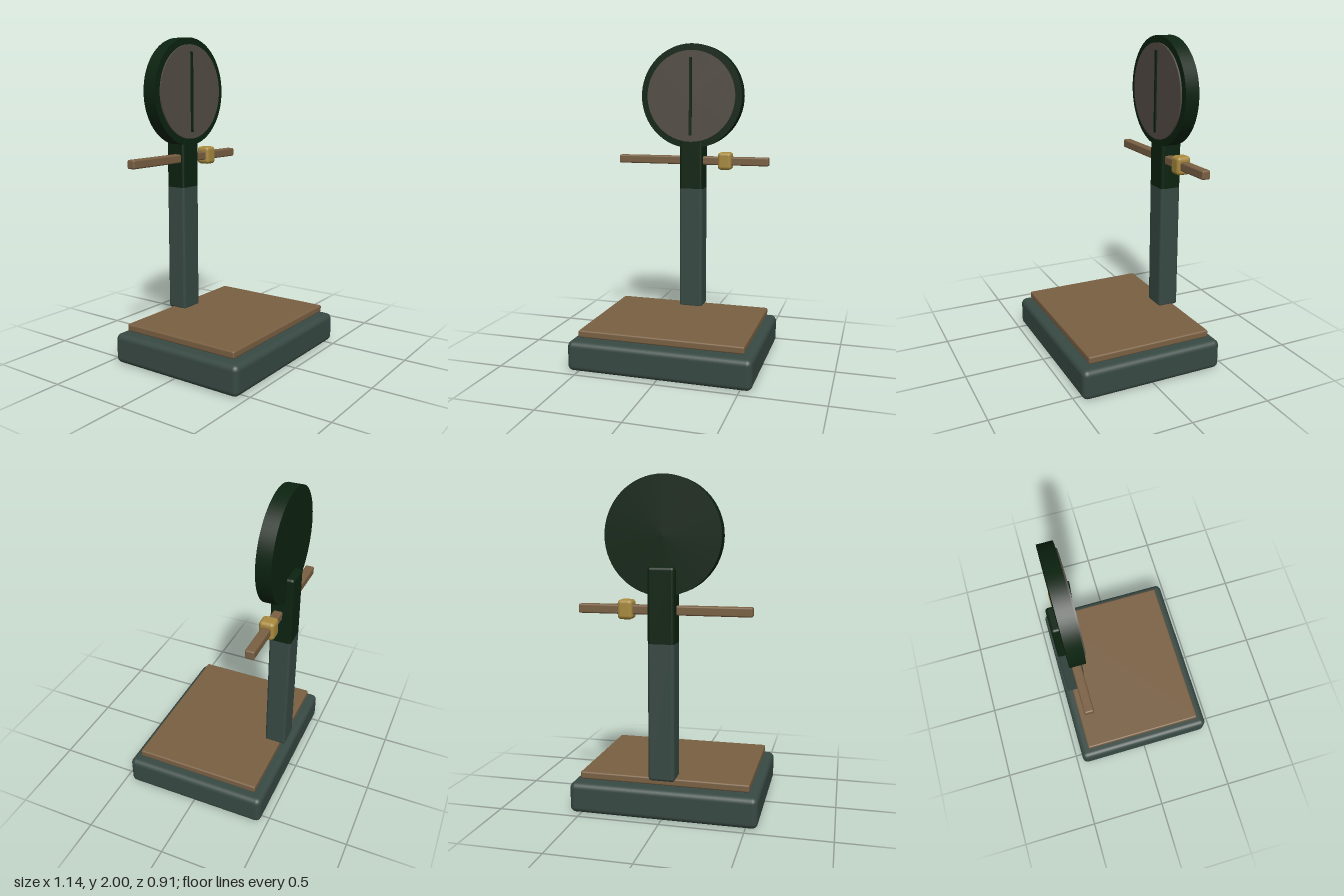
import * as THREE from 'three';
import { RoundedBoxGeometry } from 'three/addons/geometries/RoundedBoxGeometry.js';

function paint(name, color) {
  const m = new THREE.MeshStandardMaterial({ color });
  m.name = name;
  return m;
}

export function createModel() {
  const model = new THREE.Group();
  model.name = 'platformScale';
  const slate = paint('slate green', 0x384943);
  const green = paint('dark green', 0x0c2310);
  const wood = paint('brown wood', 0x7a6043);
  const dialGrey = paint('warm grey', 0x544d45);
  const brass = paint('brass', 0xa88a3f);

  function add(name, geometry, material, x = 0, y = 0, z = 0) {
    const mesh = new THREE.Mesh(geometry, material);
    mesh.name = name;
    mesh.position.set(x, y, z);
    model.add(mesh);
    return mesh;
  }

  // Softened box given by its extents on each axis
  function block(name, material, [x0, x1], [y0, y1], [z0, z1], radius) {
    const geometry = new RoundedBoxGeometry(x1 - x0, y1 - y0, z1 - z0, 4, radius);
    return add(name, geometry, material, (x0 + x1) / 2, (y0 + y1) / 2, (z0 + z1) / 2);
  }

  // Disc facing the front
  function disc(name, material, radius, z0, z1) {
    const geometry = new THREE.CylinderGeometry(radius, radius, z1 - z0, 64).rotateX(Math.PI / 2);
    return add(name, geometry, material, 0, 1.66, (z0 + z1) / 2);
  }

  // Base and weighing plate
  block('base', slate, [-0.57, 0.57], [0, 0.186], [-0.457, 0.457], 0.035);
  block('weighingPlate', wood, [-0.515, 0.515], [0.2, 0.245], [-0.4, 0.4], 0.01);

  // Column in two colours, each half cut flat at the seam
  const seam = 1.05, r = 0.018;
  const sides = [[-0.079, 0.079], [-0.434, -0.297]];
  const lower = block('columnLower', slate, sides[0], [0.235, seam + r], sides[1], r);
  const upper = block('columnUpper', green, sides[0], [seam - r, 1.487], sides[1], r);
  for (const [mesh, clamp] of [[lower, Math.min], [upper, Math.max]]) {
    const p = mesh.geometry.attributes.position;
    const cut = seam - mesh.position.y;
    for (let i = 0; i < p.count; i++) p.setY(i, clamp(p.getY(i), cut));
  }

  // Dial with face and needle
  disc('dialHousing', green, 0.34, -0.39, -0.299);
  disc('dialFace', dialGrey, 0.297, -0.305, -0.289);
  add('needle', new THREE.BoxGeometry(0.018, 0.505, 0.009), green, 0, 1.658, -0.2845);

  // Beam and sliding weight
  block('beam', wood, [-0.515, 0.515], [1.21, 1.265], [-0.374, -0.318], 0.01);
  block('slidingWeight', brass, [0.181, 0.271], [1.18, 1.295], [-0.393, -0.298], 0.022);

  return model;
}
